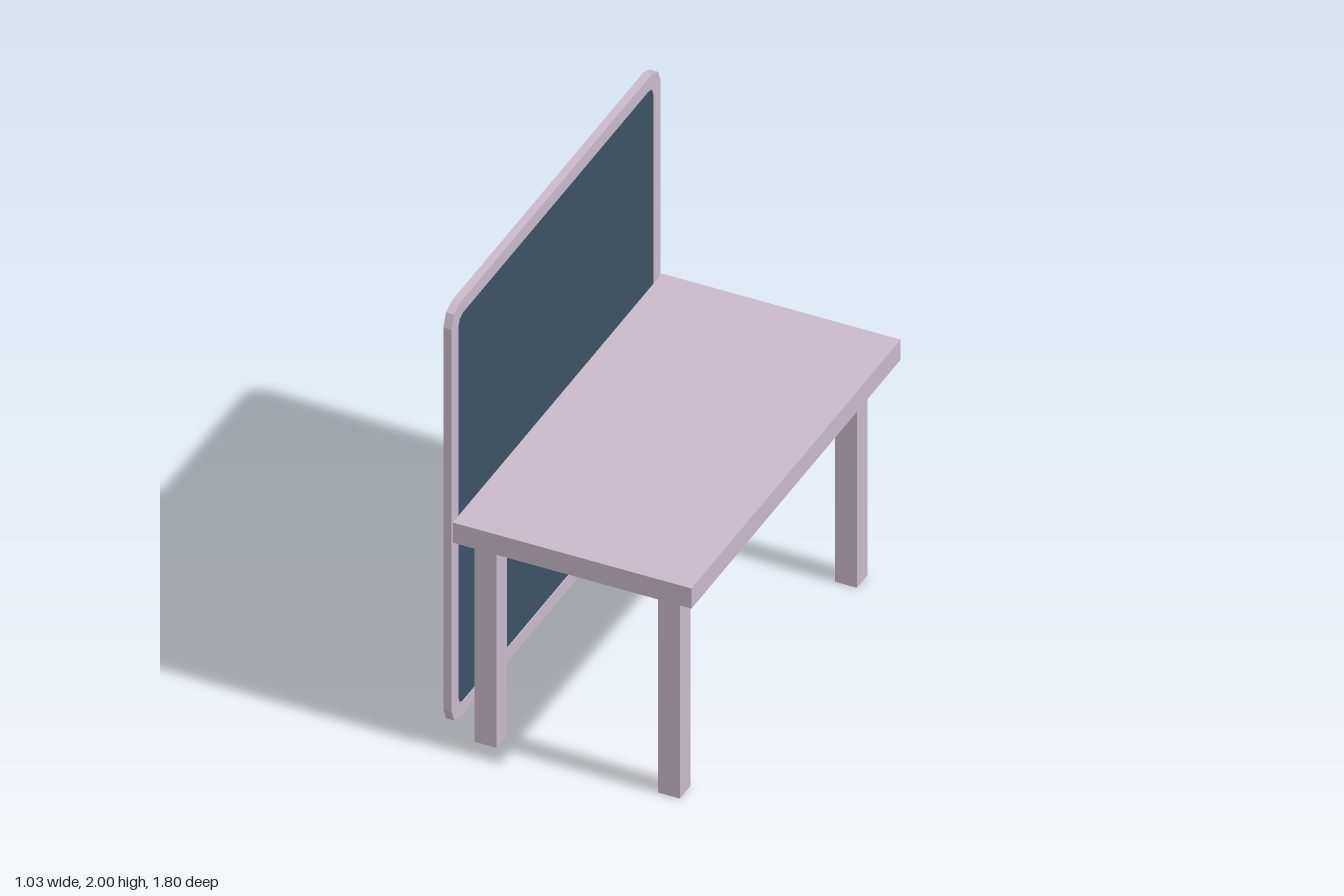
import * as THREE from 'three';

export function createModel() {
  const model = new THREE.Group();
  model.name = 'deskWithPrivacyScreen';
  const lilac = new THREE.MeshStandardMaterial({ color: 0xc8b9c9 });
  lilac.name = 'lilac';
  const slate = new THREE.MeshStandardMaterial({ color: 0x3c5264 });
  slate.name = 'slateBlue';
  const black = new THREE.MeshStandardMaterial({ color: 0x050505 });
  black.name = 'black';

  function add(name, geometry, material, x, y, z) {
    const mesh = new THREE.Mesh(geometry, material);
    mesh.name = name;
    mesh.position.set(x, y, z);
    model.add(mesh);
    return mesh;
  }
  // Wooden parts have a black underside (fourth box face)
  const blackBelow = [lilac, lilac, lilac, black, lilac, lilac];

  // Desk
  add('tabletop', new THREE.BoxGeometry(0.99, 0.092, 1.8), blackBelow, 0.017, 0.999, 0);
  for (const x of [-0.387, 0.374]) {
    for (const z of [-0.762, 0.762]) {
      const name = (z > 0 ? 'front' : 'back') + (x > 0 ? 'Left' : 'Right') + 'Leg';
      add(name, new THREE.BoxGeometry(0.09, 0.953, 0.09), blackBelow, x, 0.4765, z);
    }
  }

  // Rectangle whose corners are cut by two facets: c is the reach, k the middle point
  function facetedCorners(halfW, halfH, c, k) {
    const quarter = [[halfW, halfH - c], [halfW - k, halfH - k], [halfW - c, halfH]];
    const points = [];
    for (const [sx, sy] of [[1, 1], [-1, 1], [-1, -1], [1, -1]]) {
      const corner = quarter.map(([x, y]) => new THREE.Vector2(x * sx, y * sy));
      points.push(...(sx * sy > 0 ? corner : corner.reverse()));
    }
    return points;
  }

  // Upright screen along one long edge, drawn flat and turned to face +x
  function extrude(shape, depth) {
    const geometry = new THREE.ExtrudeGeometry(shape, { depth, bevelEnabled: false });
    geometry.translate(0, 0, -depth / 2);
    geometry.rotateY(Math.PI / 2);
    return geometry;
  }
  const inner = facetedCorners(0.84, 0.887, 0.04, 0.011);
  const frame = new THREE.Shape(facetedCorners(0.9, 0.9475, 0.078, 0.022));
  frame.holes.push(new THREE.Path(inner.slice().reverse()));
  add('screenFrame', extrude(frame, 0.034), lilac, -0.5, 1.0525, 0);
  add('screenPanel', extrude(new THREE.Shape(inner), 0.026), slate, -0.5, 1.0525, 0);

  return model;
}
